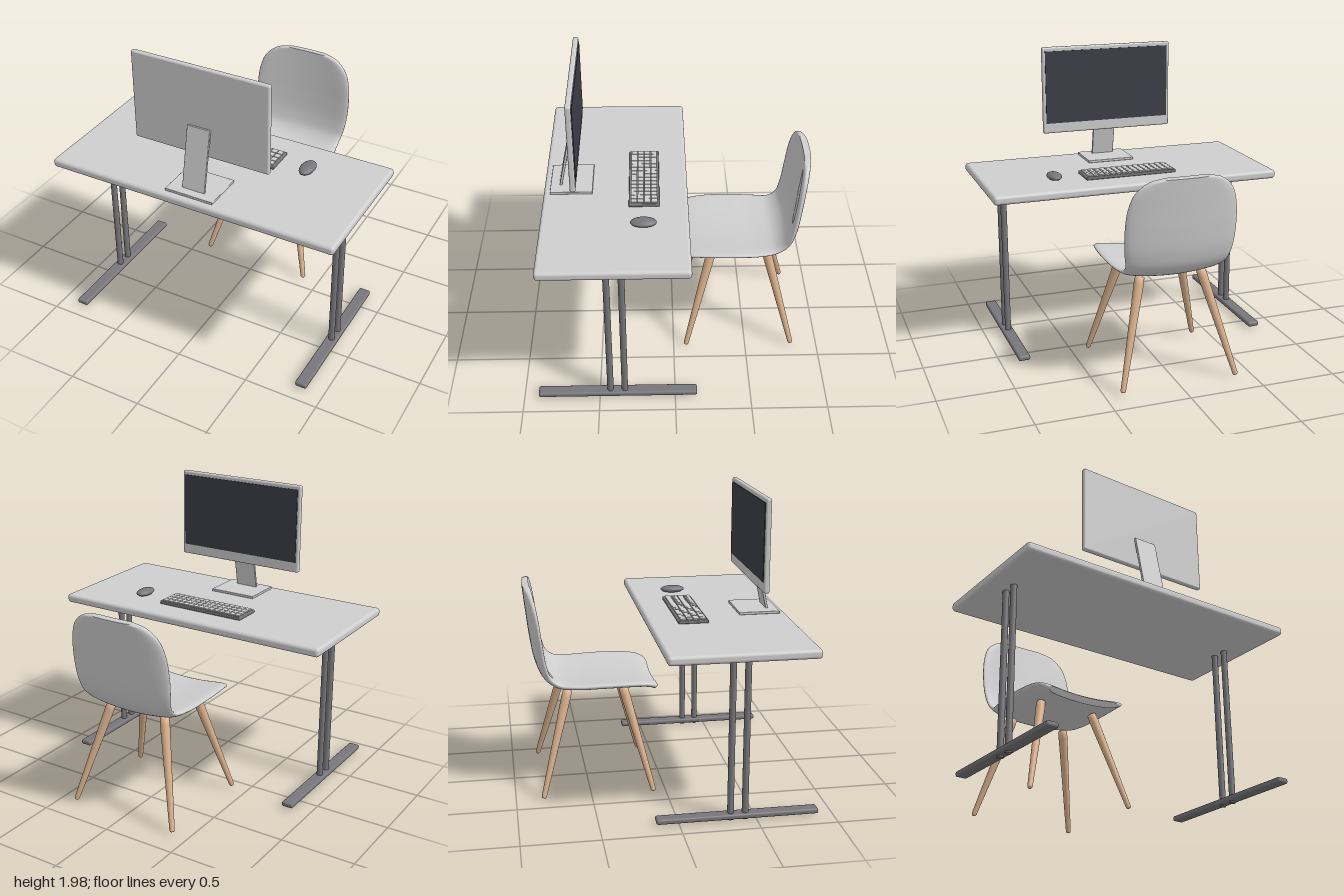
import * as THREE from 'three';
import { RoundedBoxGeometry } from 'three/addons/geometries/RoundedBoxGeometry.js';

const makeMaterial = (name, color) => {
  const m = new THREE.MeshStandardMaterial({ color });
  m.name = name;
  return m;
};

// Chair shell: a curved strip whose spine and half width follow one curve
function shellGeometry() {
  // x = half width, y and z = centre line, from the front lip to the top of the back
  const curve = new THREE.CatmullRomCurve3([
    [0.28, 0.697, -0.06], [0.325, 0.71, -0.08], [0.345, 0.72, -0.12], [0.362, 0.725, -0.22],
    [0.37, 0.725, -0.4], [0.36, 0.724, -0.58], [0.342, 0.74, -0.70], [0.344, 0.80, -0.78],
    [0.36, 0.90, -0.82], [0.368, 1.05, -0.845], [0.355, 1.2, -0.862], [0.318, 1.3, -0.873],
    [0.24, 1.37, -0.88], [0.15, 1.392, -0.882],
  ].map((p) => new THREE.Vector3(...p)));
  const rows = 70, sides = 48, half = 0.023;
  const pos = [], index = [];
  const addRing = (t, thick) => {
    const p = curve.getPointAt(t), d = curve.getTangentAt(t);
    const len = Math.hypot(d.y, d.z), ny = -d.z / len, nz = d.y / len;
    for (let j = 0; j < sides; j++) {
      const a = (j / sides) * Math.PI * 2;
      const u = Math.cos(a), x = u * p.x;
      const edge = Math.sqrt(Math.max(0, 1 - Math.abs(u) ** 10));
      // the sides curl towards the sitter
      const off = 0.038 * (x / 0.36) ** 2 + Math.sign(Math.sin(a)) * edge * half * thick;
      pos.push(x, p.y + ny * off, p.z + nz * off);
    }
  };
  const first = [];
  const ring = (t, thick, join) => {
    const start = pos.length / 3;
    addRing(t, thick);
    if (join) first.push(start);
  };
  // closed lip, sharp edge, body, sharp edge, closed top
  ring(0, 0, false);
  ring(0, 1, true);
  for (let i = 0; i <= rows; i++) ring(i / rows, 1, i > 0);
  ring(1, 1, false);
  ring(1, 0, true);
  for (const s of first) {
    for (let j = 0; j < sides; j++) {
      const k = (j + 1) % sides, a = s - sides + j, b = s - sides + k;
      index.push(a, s + j, b, b, s + j, s + k);
    }
  }
  const g = new THREE.BufferGeometry();
  g.setAttribute('position', new THREE.Float32BufferAttribute(pos, 3));
  g.setIndex(index);
  g.computeVertexNormals();
  return g;
}

export function createModel() {
  const light = makeMaterial('lightGrey', 0xcecece);
  const metal = makeMaterial('darkGrey', 0x77777b);
  const wood = makeMaterial('wood', 0xd9b08c);
  const glass = makeMaterial('screenDark', 0x3d3d48);

  const model = new THREE.Group();
  model.name = 'workstation';
  const group = (name) => {
    const g = new THREE.Group();
    g.name = name;
    model.add(g);
    return g;
  };
  const add = (parent, name, geo, mat, x = 0, y = 0, z = 0) => {
    const m = new THREE.Mesh(geo, mat);
    m.name = name;
    m.position.set(x, y, z);
    parent.add(m);
    return m;
  };
  const rounded = (w, h, d, r) => new RoundedBoxGeometry(w, h, d, 4, r);

  // Desk: top, two posts and one long foot on each side
  const desk = group('desk');
  add(desk, 'deskTop', rounded(2, 0.06, 0.95, 0.022), light, 0, 1.12, 0.378);
  for (const side of [-1, 1]) {
    for (const z of [0.335, 0.43]) {
      add(desk, 'deskPost', new THREE.CylinderGeometry(0.021, 0.021, 1.1, 20), metal, side * 0.845, 0.55, z);
    }
    add(desk, 'deskFoot', rounded(0.08, 0.035, 1.05, 0.013), metal, side * 0.845, 0.0275, 0.38);
  }

  // Monitor: its screen faces the chair
  const monitor = group('monitor');
  add(monitor, 'monitorCase', rounded(0.945, 0.61, 0.036, 0.012), light, 0, 1.675, 0.632);
  add(monitor, 'screen', new THREE.BoxGeometry(0.905, 0.51, 0.006), glass, 0, 1.697, 0.612);
  add(monitor, 'standBase', rounded(0.336, 0.018, 0.28, 0.004), light, 0, 1.159, 0.67);
  const arm = add(monitor, 'standArm', rounded(0.16, 0.425, 0.018, 0.004), light, 0, 1.367, 0.7);
  arm.rotation.x = -Math.atan2(0.085, 0.41);

  // Keyboard: tray with a grid of flat keys
  const keyboard = group('keyboard');
  add(keyboard, 'keyboardTray', rounded(0.645, 0.022, 0.2, 0.006), metal, 0, 1.161, 0.19);
  const columns = 15, rows = 4, stepX = 0.62 / columns, stepZ = 0.176 / rows;
  const keyGeo = new THREE.BoxGeometry(stepX - 0.005, 0.01, stepZ - 0.005);
  for (let c = 0; c < columns; c++) {
    for (let r = 0; r < rows; r++) {
      add(keyboard, 'key', keyGeo, light,
        (c - (columns - 1) / 2) * stepX, 1.175, 0.19 + (r - (rows - 1) / 2) * stepZ);
    }
  }

  // Mouse
  const mouse = add(model, 'mouse', new THREE.SphereGeometry(1, 28, 18), metal, 0.52, 1.174, 0.195);
  mouse.scale.set(0.049, 0.025, 0.085);

  // Chair: curved shell on four splayed tapered legs
  const chair = group('chair');
  add(chair, 'chairShell', shellGeometry(), light);
  const up = new THREE.Vector3(0, 1, 0);
  for (const side of [-1, 1]) {
    for (const [topZ, footZ] of [[-0.265, -0.085], [-0.63, -0.82]]) {
      const top = new THREE.Vector3(side * 0.205, 0.71, topZ);
      const foot = new THREE.Vector3(side * 0.387, 0.015, footZ);
      const dir = top.clone().sub(foot), len = dir.length();
      const profile = [[0, 0], [0.012, 0.002], [0.017, 0.012], [0.032, len - 0.06], [0.03, len - 0.01], [0, len]];
      const leg = add(chair, 'chairLeg',
        new THREE.LatheGeometry(profile.map((p) => new THREE.Vector2(...p)), 20), wood, foot.x, foot.y, foot.z);
      leg.quaternion.setFromUnitVectors(up, dir.normalize());
    }
  }
  return model;
}
